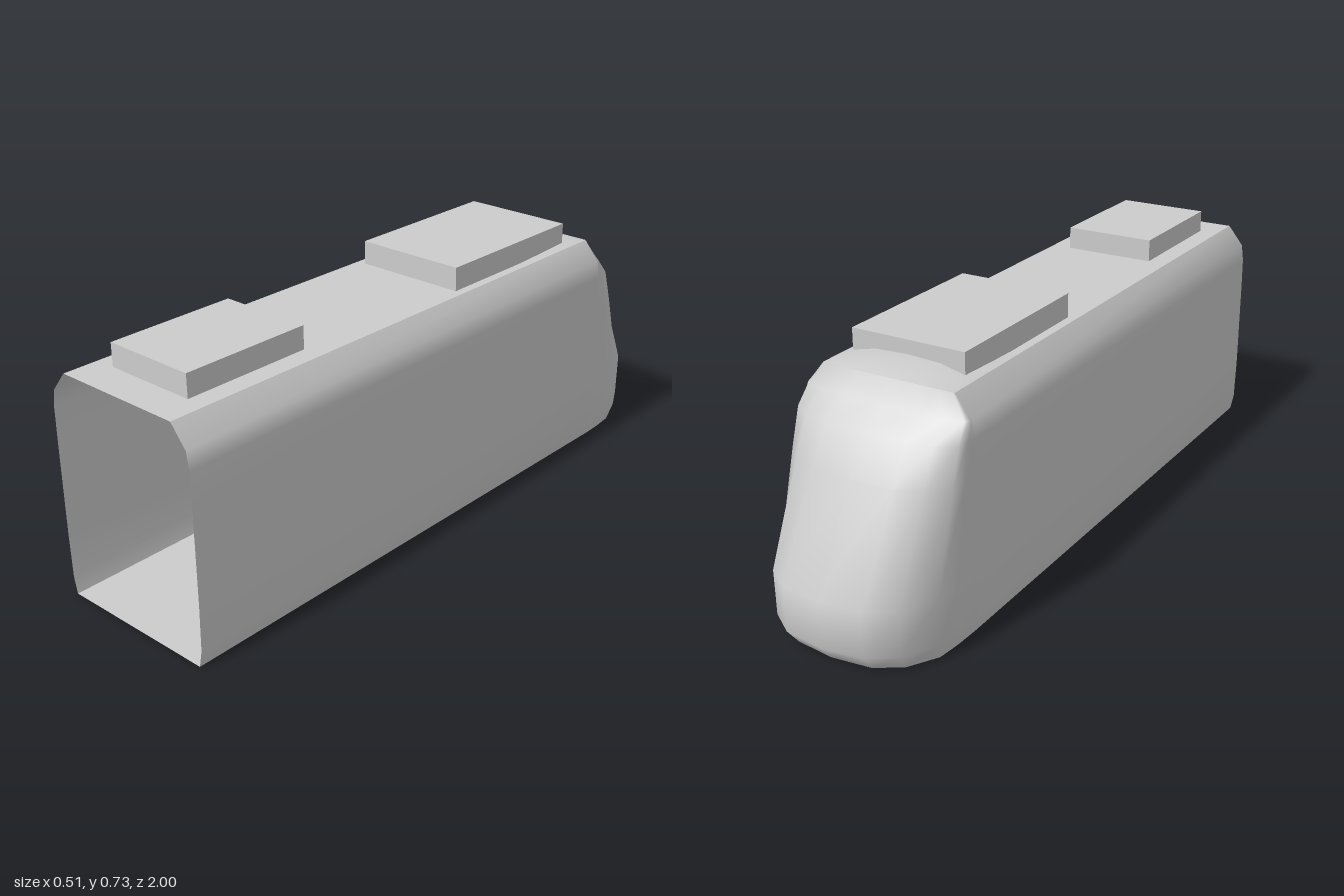
import * as THREE from 'three';

const JOINT = -0.68; // where the straight body meets the nose

// Rising levels: half width, height, foremost z of the nose
const LEVELS = [
  [0.244, 0, -0.96], [0.254, 0.05, -1], [0.257, 0.18, -1], [0.257, 0.45, -0.85],
  [0.256, 0.55, -0.79], [0.249, 0.6, -0.715], [0.2, 0.66, JOINT],
];
// Rounded nose outline: share of half width, share of depth
const HALF = [[1, 0], [0.99, 0.25], [0.96, 0.5], [0.76, 0.79], [0.47, 0.95], [0, 1]];
const OUTLINE = [...HALF, ...HALF.slice(0, -1).reverse().map(([x, d]) => [-x, d])];

// Skin a grid of points with smooth normals
function loft(rows) {
  const n = rows[0].length, index = [];
  for (let i = 0; i < rows.length - 1; i++) {
    for (let j = 0; j < n - 1; j++) {
      const a = i * n + j, d = a + n;
      index.push(a, a + 1, d + 1, a, d + 1, d);
    }
  }
  const geo = new THREE.BufferGeometry();
  geo.setAttribute('position', new THREE.Float32BufferAttribute(rows.flat(2), 3));
  geo.setIndex(index);
  geo.computeVertexNormals();
  return geo;
}

export function createModel() {
  const model = new THREE.Group();
  const grey = new THREE.MeshStandardMaterial({ color: 0xcccccc, side: THREE.DoubleSide });
  grey.name = 'bodyGrey';

  const add = (name, geo) => {
    const mesh = new THREE.Mesh(geo, grey);
    mesh.name = name;
    model.add(mesh);
    return mesh;
  };

  // Side walls, open at the front end
  add('leftWall', loft(LEVELS.map(([w, y]) => [[w, y, 1], [w, y, JOINT]])));
  add('rightWall', loft(LEVELS.map(([w, y]) => [[-w, y, JOINT], [-w, y, 1]])));

  // Flat roof
  add('roof', loft([1, JOINT].map((z) => [[-0.2, 0.66, z], [0.2, 0.66, z]])));

  // Sloping rounded nose
  const nosePoint = ([w, y, zf]) => OUTLINE.map(([x, d]) => [x * w, y, JOINT + d * (zf - JOINT)]);
  add('nose', loft(LEVELS.map(nosePoint)));

  // Floor under body and nose
  const [w0] = LEVELS[0];
  const edge = [[w0, 0, 1], ...nosePoint(LEVELS[0]), [-w0, 0, 1]];
  const floor = new THREE.ShapeGeometry(new THREE.Shape(edge.map(([x, , z]) => new THREE.Vector2(x, z))));
  floor.rotateX(Math.PI / 2);
  add('floor', floor);

  // Low swelling of the roof above the nose
  const swell = [[-0.38, 0], [-0.45, 0.008], [-0.59, 0.03], [JOINT, 0]];
  const across = [[-0.2, 0], [-0.17, 0.3], [-0.1, 0.85], [0, 1], [0.1, 0.85], [0.17, 0.3], [0.2, 0]];
  add('roofFairing', loft(swell.map(([z, h]) => across.map(([x, k]) => [x, 0.6605 + h * k, z]))));

  // Roof equipment boxes
  for (const [name, width, top, z0, z1] of [
    ['largeRoofUnit', 0.346, 0.73, -0.59, -0.07],
    ['smallRoofUnit', 0.28, 0.727, 0.505, 0.895],
  ]) {
    const h = top - 0.655;
    add(name, new THREE.BoxGeometry(width, h, z1 - z0)).position.set(0, top - h / 2, (z0 + z1) / 2);
  }
  return model;
}
